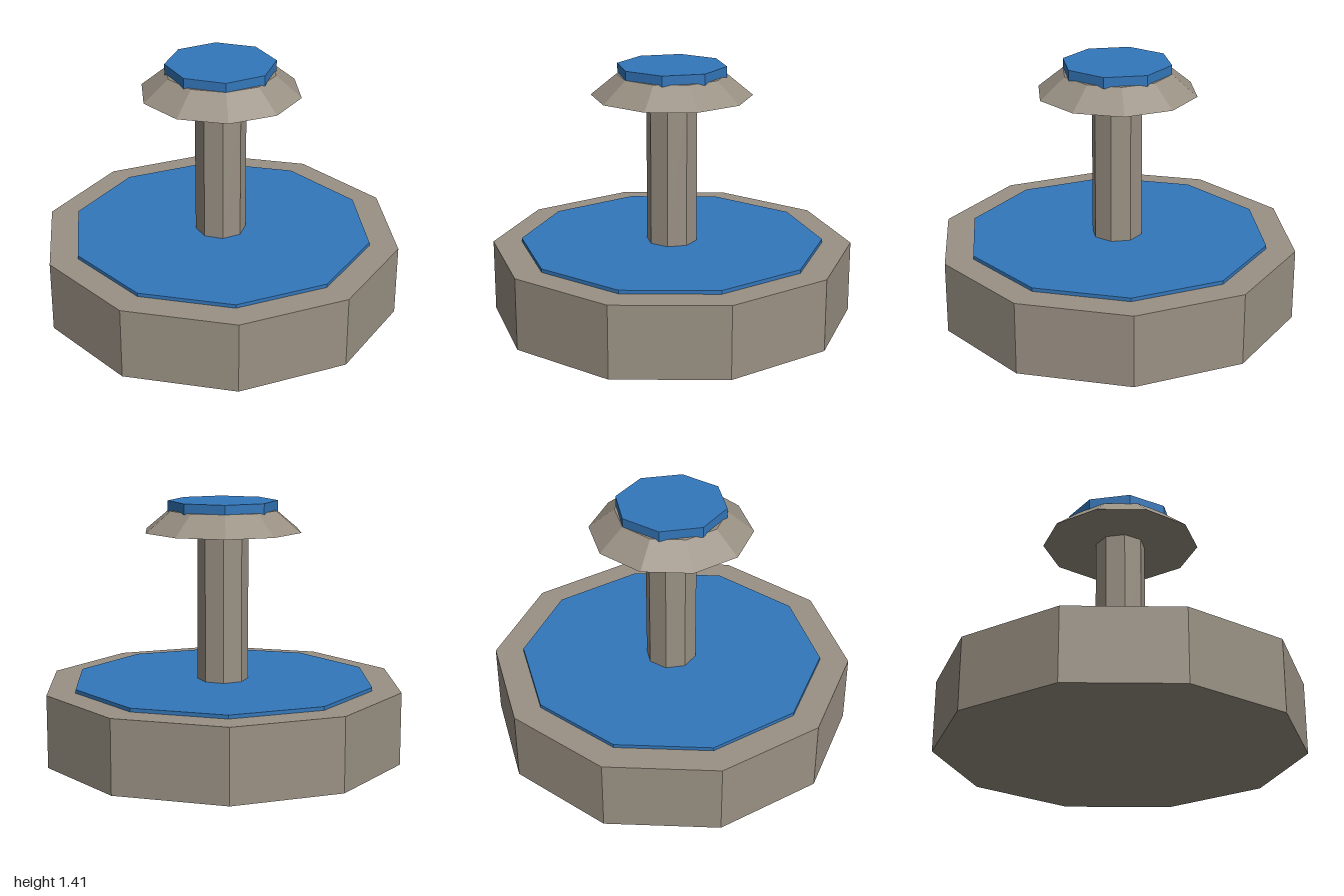
import * as THREE from 'three';

export function createModel() {
  const model = new THREE.Group();
  const stone = new THREE.MeshStandardMaterial({ color: 0x9a9184, flatShading: true });
  const water = new THREE.MeshStandardMaterial({ color: 0x3377bb, flatShading: true });

  // Upright faceted drum between two heights
  function drum(name, material, sides, bottom, top, rBottom, rTop = rBottom) {
    const geometry = new THREE.CylinderGeometry(rTop, rBottom, top - bottom, sides);
    const mesh = new THREE.Mesh(geometry, material);
    mesh.name = name;
    mesh.position.y = (bottom + top) / 2;
    model.add(mesh);
  }

  // Wide basin with its pool
  drum('basin', stone, 10, 0, 0.4, 1);
  drum('poolWater', water, 10, 0.38, 0.42, 0.84);

  // Column carrying the flared upper bowl and its water
  drum('column', stone, 8, 0.4, 1.25, 0.14);
  drum('upperBowl', stone, 10, 1.245, 1.36, 0.44, 0.3);
  drum('upperWater', water, 8, 1.35, 1.41, 0.3);

  return model;
}
